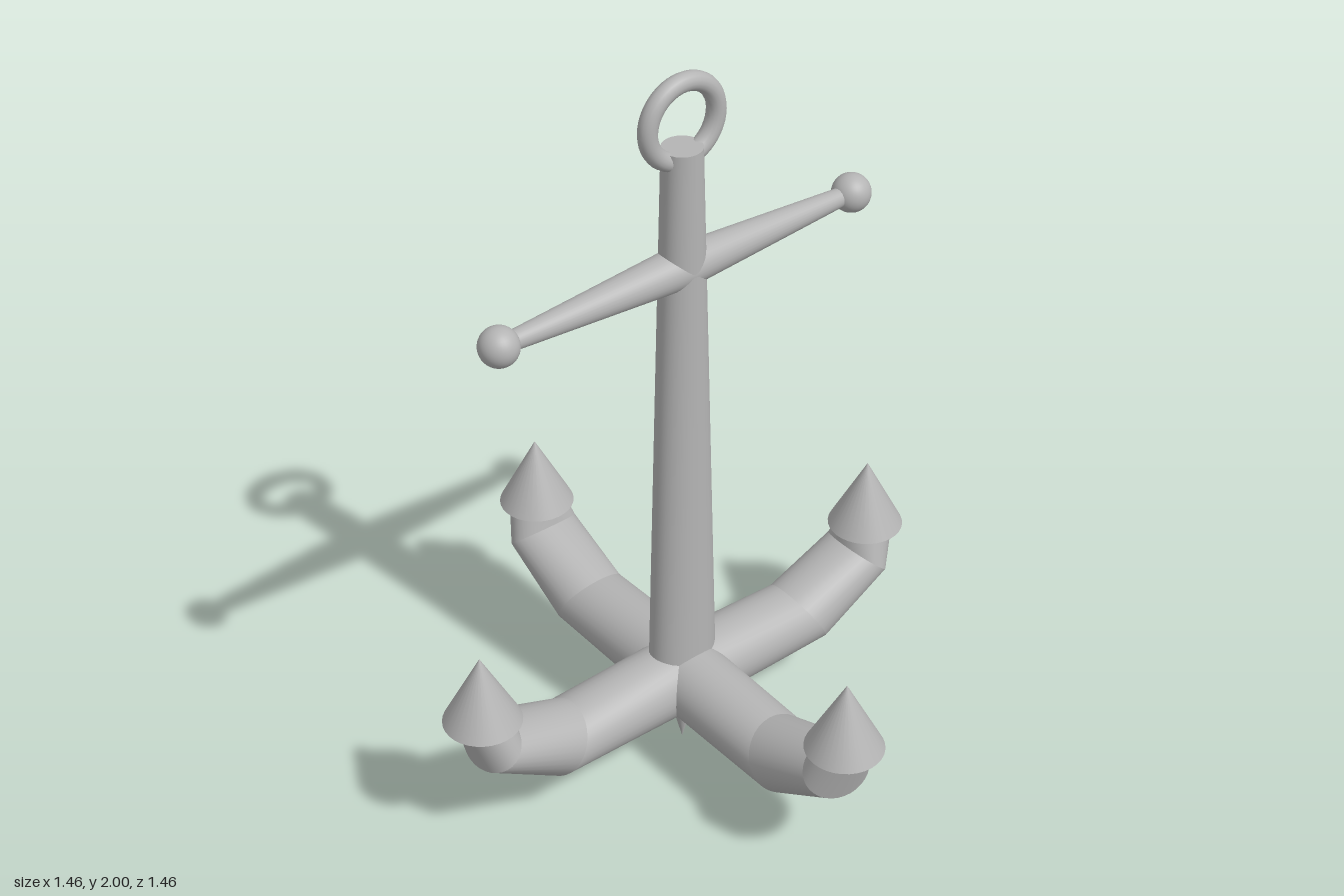
import * as THREE from 'three';

const SIDES = 32;

// Elliptical ring sections of one arm: centre (x, y), half axis in the arm's plane (ux, uy), half width w
const ARM = [
  { x: 0, y: 0.228, ux: 0, uy: 0.103, w: 0.1 },
  { x: 0.4, y: 0.225, ux: -0.049, uy: 0.086, w: 0.1 },
  { x: 0.605, y: 0.328, ux: -0.055, uy: 0.048, w: 0.1 },
  { x: 0.63, y: 0.42, ux: -0.07, uy: 0, w: 0.075 },
];

// Smooth tube between two sections; separate pieces keep the bends crisp
function armSegment(a, b) {
  const pos = [], index = [];
  for (const s of [a, b]) {
    for (let i = 0; i < SIDES; i++) {
      const t = (i / SIDES) * Math.PI * 2, c = Math.cos(t);
      pos.push(s.x + s.ux * c, s.y + s.uy * c, s.w * Math.sin(t));
    }
  }
  for (let i = 0; i < SIDES; i++) {
    const j = (i + 1) % SIDES;
    index.push(i, j, i + SIDES, j, j + SIDES, i + SIDES);
  }
  const g = new THREE.BufferGeometry();
  g.setAttribute('position', new THREE.Float32BufferAttribute(pos, 3));
  g.setIndex(index);
  g.computeVertexNormals();
  return g;
}

export function createModel() {
  const model = new THREE.Group();
  model.name = 'anchor';
  const iron = new THREE.MeshStandardMaterial({ color: 0xb4b4b4 });
  iron.name = 'iron grey';

  const add = (parent, name, geometry, x = 0, y = 0, z = 0) => {
    const mesh = new THREE.Mesh(geometry, iron);
    mesh.name = name;
    mesh.position.set(x, y, z);
    parent.add(mesh);
    return mesh;
  };

  // Shank: tapered, flattening front to back toward the bottom
  const shank = new THREE.CylinderGeometry(0.05, 0.1, 1.61, SIDES, 1);
  const p = shank.attributes.position;
  for (let i = 0; i < p.count; i++) if (p.getY(i) < 0) p.setZ(i, p.getZ(i) * 0.68);
  shank.computeVertexNormals();
  add(model, 'shank', shank, 0, 1.005, 0);

  // Ring through the top of the shank
  add(model, 'ring', new THREE.TorusGeometry(0.1, 0.024, 16, 48), 0, 1.876, 0);

  // Stock: two tapered bars with ball ends
  for (const side of [1, -1]) {
    const name = side > 0 ? 'left' : 'right';
    const bar = add(model, name + 'Stock', new THREE.CylinderGeometry(0.022, 0.054, 0.53, SIDES), side * 0.265, 1.485, 0);
    bar.rotation.z = -side * Math.PI / 2;
    add(model, name + 'StockBall', new THREE.SphereGeometry(0.05, 32, 20), side * 0.53, 1.485, 0);
  }

  // Four bent arms with pointed tips
  ['left', 'back', 'right', 'front'].forEach((name, k) => {
    const arm = new THREE.Group();
    arm.name = name + 'Arm';
    arm.rotation.y = k * Math.PI / 2;
    for (let i = 0; i < ARM.length - 1; i++) add(arm, 'armSegment' + (i + 1), armSegment(ARM[i], ARM[i + 1]));
    add(arm, 'armTip', new THREE.ConeGeometry(0.1, 0.195, SIDES), 0.63, 0.5125, 0);
    model.add(arm);
  });

  // Spike under the crown
  const spike = add(model, 'bottomSpike', new THREE.ConeGeometry(0.05, 0.2, SIDES), 0, 0.1, 0);
  spike.rotation.x = Math.PI;

  return model;
}
